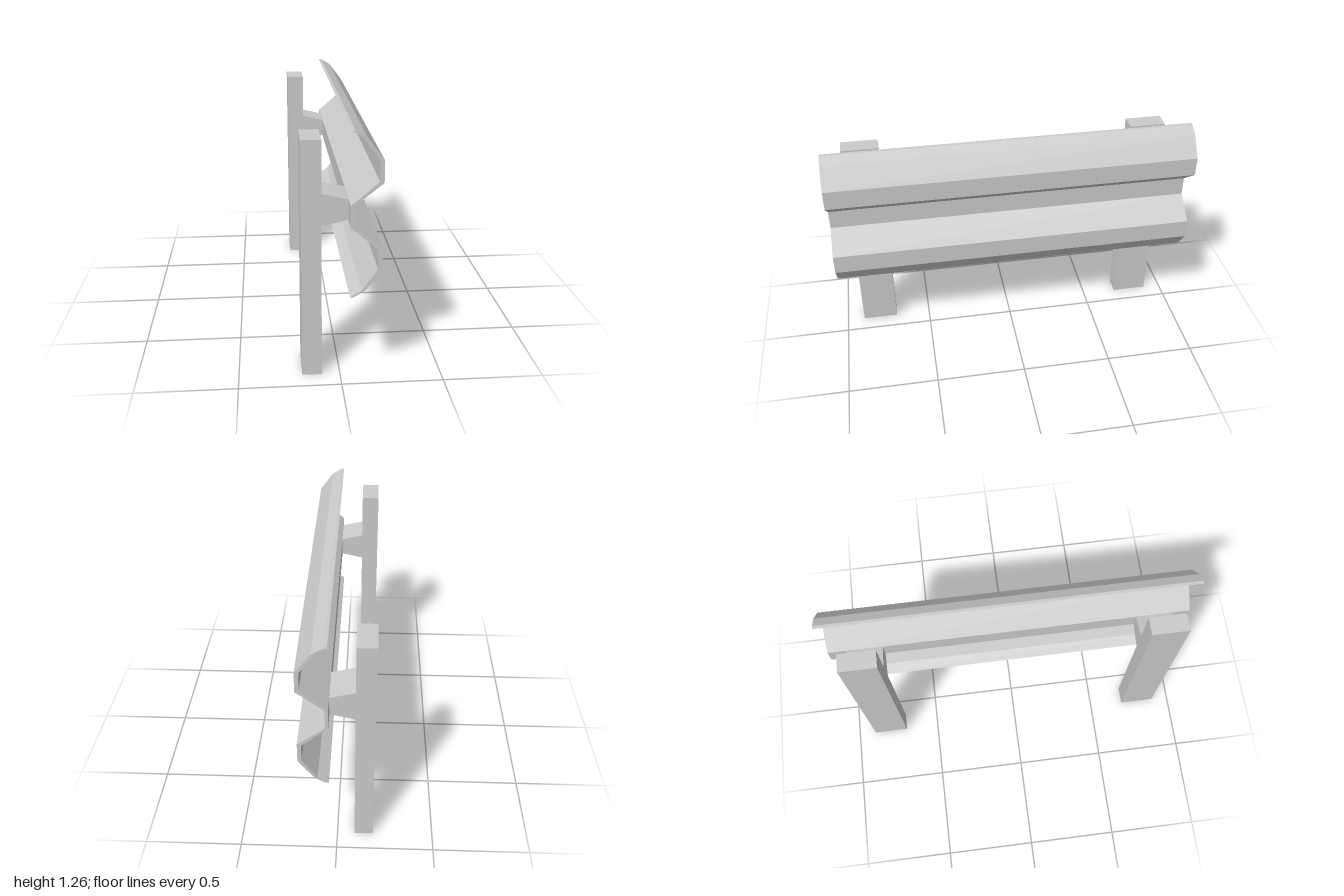
import * as THREE from 'three';

const material = new THREE.MeshStandardMaterial({ color: 0xcccccc, flatShading: true, side: THREE.DoubleSide });

// Extrude an outline of [x, y] points along z, centred on z = 0
function extrudeOutline(points, depth) {
  const shape = new THREE.Shape(points.map(([x, y]) => new THREE.Vector2(x, y)));
  const geometry = new THREE.ExtrudeGeometry(shape, { depth, bevelEnabled: false });
  return geometry.translate(0, 0, -depth / 2);
}

// Leave the foot of a post open by dropping the triangles lying on the ground
function openBottom(geometry) {
  const p = geometry.attributes.position;
  const kept = [];
  for (let i = 0; i < p.count; i += 3) {
    if (Math.max(p.getY(i), p.getY(i + 1), p.getY(i + 2)) < 0.001) continue;
    for (let j = i; j < i + 3; j++) kept.push(p.getX(j), p.getY(j), p.getZ(j));
  }
  const result = new THREE.BufferGeometry();
  result.setAttribute('position', new THREE.Float32BufferAttribute(kept, 3));
  result.computeVertexNormals();
  return result;
}

export function createModel() {
  const group = new THREE.Group();
  const midY = 0.864;

  // Corrugated rail: half a profile for each face, mirrored about the middle height
  const outerHalf = [[0.052, 0.4], [0.107, 0.367], [0.185, 0.262], [0.185, 0.157], [0.052, 0.053]];
  const innerHalf = [[0.035, 0.4], [0.089, 0.367], [0.165, 0.262], [0.165, 0.164], [0.035, 0.053]];
  const fullSide = (half) => [
    ...half.map(([x, y]) => [x, midY + y]),
    ...[...half].reverse().map(([x, y]) => [x, midY - y]),
  ];
  const profile = [...fullSide(outerHalf), ...fullSide(innerHalf).reverse()];
  const rail = new THREE.Mesh(extrudeOutline(profile, 2), material);
  rail.name = 'rail';
  group.add(rail);

  // Posts, each with a tapered bracket reaching to the rail
  const postOutline = [
    [-0.187, 0], [-0.09, 0], [-0.09, 0.786], [0.035, 0.814],
    [0.035, 0.914], [-0.09, 0.944], [-0.09, 1.2], [-0.187, 1.2],
  ];
  const postGeometry = openBottom(extrudeOutline(postOutline, 0.2));
  for (const [name, z] of [['frontPost', 0.8], ['backPost', -0.8]]) {
    const post = new THREE.Mesh(postGeometry, material);
    post.name = name;
    post.position.z = z;
    group.add(post);
  }

  return group;
}
